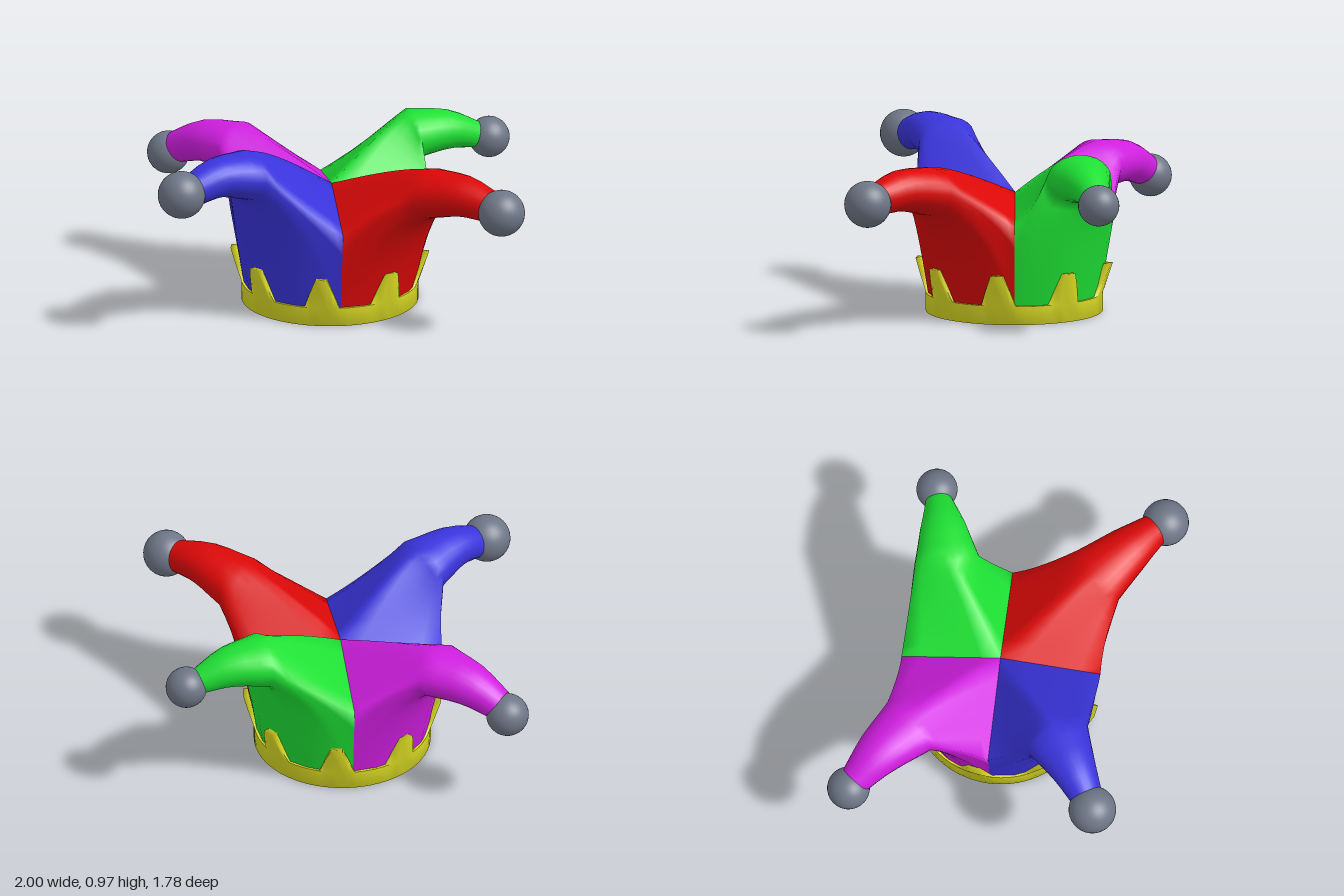
import * as THREE from 'three';

const V = (x, y, z) => new THREE.Vector3(x, y, z);
const { lerp } = THREE.MathUtils;
const mat = (name, color, side = THREE.FrontSide) => {
  const m = new THREE.MeshStandardMaterial({ color, side });
  m.name = name;
  return m;
};

const CX = -0.015, CZ = -0.04;            // axis of the head opening
const polar = (a, r, y) => V(CX + r * Math.sin(a), y, CZ + r * Math.cos(a));
const azimuth = (p) => Math.atan2(p.x - CX, p.z - CZ);
const angleDiff = (a, b) => Math.atan2(Math.sin(b - a), Math.cos(b - a));

// Smooth skin over a list of closed rings (equal point counts)
function loft(rings, closeEnds = false) {
  const n = rings[0].length, pos = [], idx = [];
  rings.forEach((ring) => ring.forEach((p) => pos.push(p.x, p.y, p.z)));
  const last = closeEnds ? rings.length : rings.length - 1;
  for (let k = 0; k < last; k++) {
    const k2 = (k + 1) % rings.length;
    for (let j = 0; j < n; j++) {
      const j2 = (j + 1) % n;
      const a = k * n + j, b = k * n + j2, c = k2 * n + j2, d = k2 * n + j;
      idx.push(a, b, c, a, c, d);
    }
  }
  const g = new THREE.BufferGeometry();
  g.setAttribute('position', new THREE.Float32BufferAttribute(pos, 3));
  g.setIndex(idx);
  g.computeVertexNormals();
  return g;
}

// Seams between the four cloth quarters
const PEAK = V(-0.005, 0.64, -0.045);
const SEAMS = {
  front: V(-0.005, 0.53, 0.49),
  right: V(0.52, 0.54, -0.03),
  back: V(-0.005, 0.53, -0.575),
  left: V(-0.55, 0.53, -0.06),
};
const TOP = 5, WALL = 4, ARC = 6, N = 2 * (TOP + WALL) + ARC;

// Cloth quarter: its outline blends into oval sections along a drooping horn
function quarterGeometry(seamA, seamB, spine, radii) {
  const baseA = polar(azimuth(seamA), 0.452, 0.05), baseB = polar(azimuth(seamB), 0.452, 0.05);
  const span = angleDiff(azimuth(seamA), azimuth(seamB));
  const outline = [];
  for (let i = 0; i < TOP; i++) outline.push(PEAK.clone().lerp(seamA, i / TOP));
  for (let i = 0; i < WALL; i++) outline.push(seamA.clone().lerp(baseA, i / WALL));
  for (let i = 0; i < ARC; i++) outline.push(polar(azimuth(seamA) + span * i / ARC, 0.452, 0.05));
  for (let i = 0; i < WALL; i++) outline.push(baseB.clone().lerp(seamB, i / WALL));
  for (let i = 0; i < TOP; i++) outline.push(seamB.clone().lerp(PEAK, i / TOP));

  // horn sections, wider than tall at the root
  const curve = new THREE.CatmullRomCurve3(spine);
  const horn = [];
  for (let k = 0; k <= 6; k++) {
    const t = k / 6, c = curve.getPoint(t), dir = curve.getTangent(t);
    const side = V(0, 1, 0).cross(dir).normalize();
    const up = dir.clone().cross(side);
    const r = t < 0.5 ? lerp(radii[0], radii[1], t * 2) : lerp(radii[1], radii[2], t * 2 - 1);
    const wide = r * lerp(1.35, 1, t);
    horn.push(outline.map((_, j) => {
      const a = 2 * Math.PI * j / N;
      return c.clone().addScaledVector(up, r * Math.cos(a)).addScaledVector(side, -wide * Math.sin(a));
    }));
  }

  // control points: the wall rises, then bends outward into the horn
  const root = horn[0], hornAz = azimuth(spine[0]);
  const wallControl = (p) => {
    const a = azimuth(p);
    return polar(a + 0.3 * angleDiff(a, hornAz), 0.545, 0.54 + 0.2 * (p.y - 0.1));
  };
  const ridge = PEAK.clone().lerp(root[0], 0.75);
  ridge.y = lerp(PEAK.y, root[0].y, 0.95);
  const control = outline.map((p, j) => {
    const i = Math.min(j, N - j);
    if (i >= TOP) return wallControl(p);
    return ridge.clone().lerp(wallControl(j < N / 2 ? seamA : seamB), (i / TOP) ** 1.5);
  });

  const rings = [];
  for (let k = 0; k < 7; k++) {
    const t = k / 7, s = 1 - t;
    rings.push(outline.map((p, j) => p.clone().multiplyScalar(s * s)
      .addScaledVector(control[j], 2 * s * t).addScaledVector(root[j], t * t)));
  }
  return loft([...rings, ...horn]);
}

// Crown band with eight flaring, blunt teeth
function crownGeometry() {
  const rings = [], teeth = 8, deg = Math.PI / 180, low = 0.1, high = 0.27, thick = 0.04;
  const steps = [[-22.5, 0], [-17, 0], [-11.5, 0], [-7.5, 0.5], [-3.5, 1], [3.5, 1], [7.5, 0.5], [11.5, 0], [17, 0]];
  for (let i = 0; i < teeth; i++) {
    for (const [off, h] of steps) {
      const a = (-11.7 + i * 45 + off) * deg;
      const y = low + (high - low) * h, r = 0.472 + 0.058 * h;
      rings.push([
        polar(a, 0.472 - thick, 0), polar(a, 0.472 - thick, low), polar(a, r - thick, y + 0.001),
        polar(a, r, y + 0.001), polar(a, 0.472, low), polar(a, 0.472, 0),
      ]);
    }
  }
  return loft(rings, true);
}

export function createModel() {
  const group = new THREE.Group();
  const add = (name, geometry, material) => {
    const m = new THREE.Mesh(geometry, material);
    m.name = name;
    group.add(m);
    return m;
  };
  const grey = mat('bell grey', 0x6e7686);
  const DS = THREE.DoubleSide;

  // each quarter ends in a round bell
  const quarters = [
    { name: 'red', color: 0xdc0808, a: 'front', b: 'right', radii: [0.13, 0.11, 0.085],
      spine: [V(0.48, 0.73, 0.43), V(0.63, 0.76, 0.58), V(0.77, 0.735, 0.71)], bell: V(0.815, 0.72, 0.76), size: 0.125 },
    { name: 'green', color: 0x1ee034, a: 'right', b: 'back', radii: [0.13, 0.105, 0.07],
      spine: [V(0.46, 0.79, -0.375), V(0.65, 0.79, -0.415), V(0.82, 0.74, -0.455)], bell: V(0.887, 0.72, -0.47), size: 0.11 },
    { name: 'magenta', color: 0xd01ee0, a: 'back', b: 'left', radii: [0.13, 0.11, 0.085],
      spine: [V(-0.46, 0.71, -0.49), V(-0.62, 0.7, -0.635), V(-0.76, 0.63, -0.75)], bell: V(-0.797, 0.59, -0.783), size: 0.114 },
    { name: 'blue', color: 0x3a34dc, a: 'left', b: 'front', radii: [0.13, 0.105, 0.085],
      spine: [V(-0.5, 0.83, 0.31), V(-0.67, 0.857, 0.41), V(-0.82, 0.815, 0.50)], bell: V(-0.875, 0.81, 0.53), size: 0.127 },
  ];
  for (const q of quarters) {
    add(q.name + 'Quarter', quarterGeometry(SEAMS[q.a], SEAMS[q.b], q.spine, q.radii), mat(q.name + ' cloth', q.color, DS));
    add(q.name + 'Bell', new THREE.SphereGeometry(q.size, 32, 20), grey).position.copy(q.bell);
  }

  add('crownBand', crownGeometry(), mat('crown yellow', 0xdada24, DS));
  return group;
}
